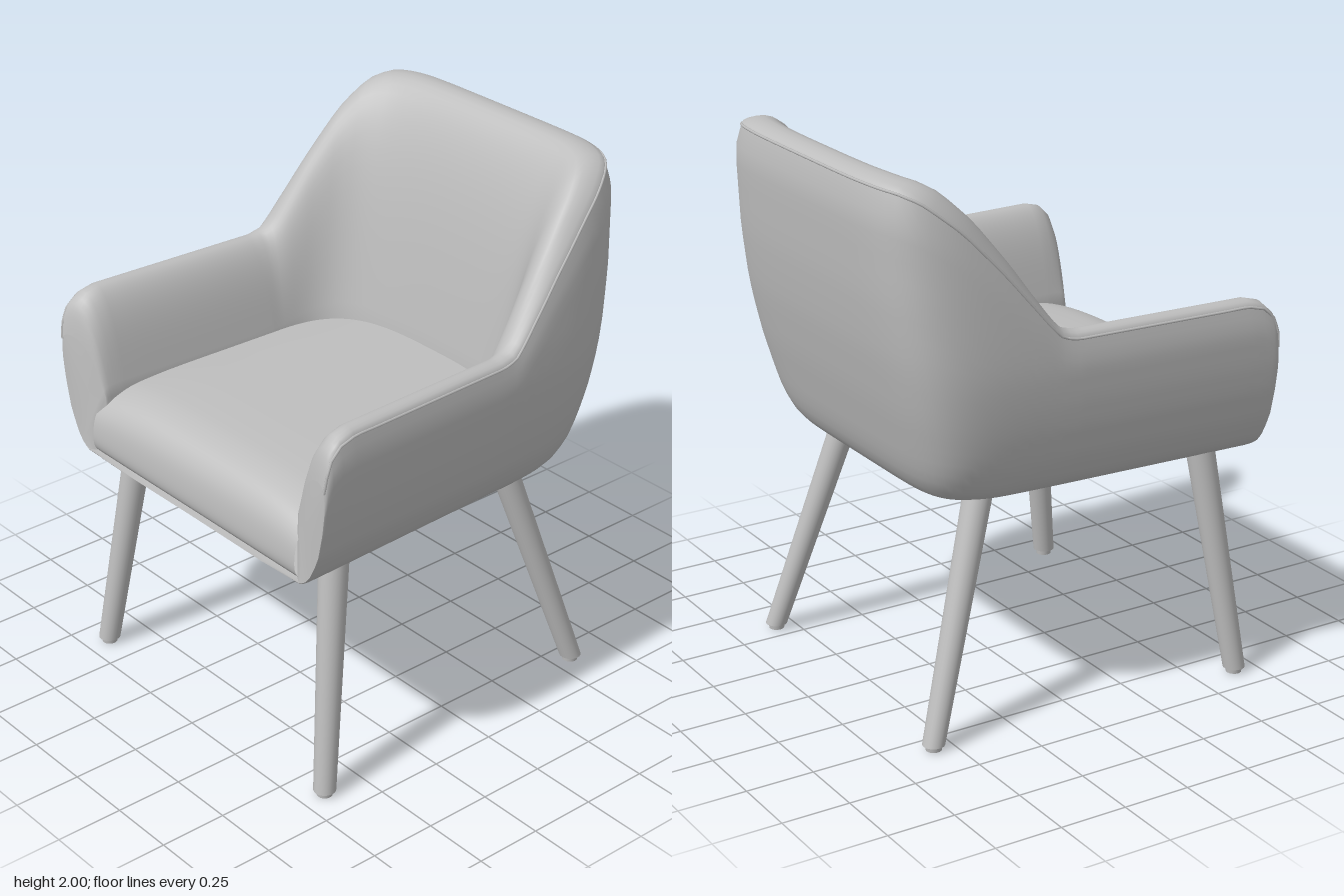
import * as THREE from 'three';

const { lerp, clamp } = THREE.MathUtils;

// Piecewise linear lookup in a list of [key, value] with rising keys
function table(pts, t) {
  if (t <= pts[0][0]) return pts[0][1];
  for (let i = 1; i < pts.length; i++) {
    const [a, va] = pts[i - 1], [b, vb] = pts[i];
    if (t <= b) return lerp(va, vb, (t - a) / (b - a));
  }
  return pts[pts.length - 1][1];
}

// Width factor and back position of the outer shell by height
const WIDTH = [[0.855, 0.79], [0.87, 0.83], [0.9, 0.868], [0.95, 0.905], [1, 0.935], [1.1, 0.967],
  [1.2, 0.987], [1.32, 1], [1.44, 0.995], [1.6, 0.98], [1.85, 0.95], [2, 0.93]];
const BACK = [[0.855, -0.45], [0.875, -0.52], [0.92, -0.555], [1, -0.585], [1.2, -0.64], [1.4, -0.685],
  [1.6, -0.715], [1.85, -0.735], [2, -0.738]];
// Rim height by depth: back, sloping sides, arms, rounded arm fronts
const RIM = [[-0.72, 2], [-0.68, 1.99], [-0.62, 1.96], [-0.5, 1.86], [-0.35, 1.695], [-0.25, 1.575],
  [-0.18, 1.492], [-0.14, 1.458], [-0.08, 1.445], [0.6, 1.445], [0.66, 1.43], [0.7, 1.395], [0.72, 1.35], [0.73, 1.29]];
const ZC = -0.05; // depth where the rear corners begin

// Columns of the U from the left arm round the back to the right arm
const columns = [];
const armZ = [0.73, 0.727, 0.72, 0.71, 0.7, 0.68, 0.66, 0.63, 0.6, 0.5, 0.35, 0.2, 0.08];
armZ.forEach((z) => columns.push({ z, side: 1 }));
for (let i = 0; i <= 72; i++) columns.push({ phi: (Math.PI * i) / 72 });
[...armZ].reverse().forEach((z) => columns.push({ z, side: -1 }));

// Plan position on a U: half width w, back zb, corner power n, arm flare, rear taper
function plan(col, w, zb, n, flare, taper) {
  if (col.phi === undefined) return [col.side * (w + flare * (col.z - ZC)), col.z];
  const c = Math.cos(col.phi), s = Math.sin(col.phi);
  const r = Math.pow(Math.abs(c) ** n + Math.abs(s) ** n, -1 / n);
  return [w * r * c * (1 - taper * r * s), ZC + (zb - ZC) * r * s];
}
const outer = (col, y) => plan(col, 0.705 * table(WIDTH, y), table(BACK, y), 6.5, 0.045, 0.04);

// Two halves of a cross-section meeting at the welt; both walls have 21 points
const BOTTOM = 3, WALL = 20, ARC = 4, INNER = 15;
function section(col, index) {
  const H = table(RIM, plan(col, 0.67, -0.725, 6.5, 0, 0.04)[1]);
  const top = H - 0.025;
  const [sx, sz] = plan(col, 0.5, -0.365, 3, 0.04, 0);
  const under = [], wall = [], inside = [];

  // Underside from the middle to the wall
  const [bx, bz] = outer(col, 0.855);
  const cz = col.phi === undefined ? col.z : ZC;
  for (let i = 0; i < BOTTOM; i++) {
    const k = i / BOTTOM;
    under.push(new THREE.Vector3(bx * k, 0.858 - 0.003 * k, lerp(cz, bz, k)));
  }
  // Outer wall, drawn in slightly below the welt
  for (let i = 0; i <= WALL; i++) {
    const y = lerp(0.855, top, Math.pow(i / WALL, 1.3));
    const [x, z] = outer(col, y);
    const pull = 0.05 * Math.pow(clamp((y - top + 0.1) / 0.1, 0, 1), 2);
    wall.push(new THREE.Vector3(lerp(x, sx, pull), y, lerp(z, sz, pull)));
  }
  // Rolled rim from the welt to the crest, then the padded inner wall
  const edge = wall[WALL];
  const inner = (f, y) => {
    const recess = 0.045 * (1 - f) * clamp((edge.z - 0.6) / 0.13, 0, 1);
    inside.push(new THREE.Vector3(lerp(sx, edge.x, f), y, lerp(sz, edge.z, f) - recess));
  };
  for (let i = 0; i < ARC; i++) {
    const a = (Math.PI / 2) * (1 - i / ARC);
    inner(0.8 + 0.2 * Math.sin(a), H - 0.025 * (1 - Math.cos(a)));
  }
  for (let i = 0; i <= INNER; i++) {
    const v = 1 - Math.pow(i / INNER, 1.8);
    inner(0.8 * (0.5 * v + 0.5 * (1 - Math.sqrt(1 - v ** 4))), lerp(1.08, H, v));
  }
  inner(0, 0.865);

  // Soften the edge round the arm fronts
  const inset = [0.04, 0.02, 0.01, 0.004][Math.min(index, columns.length - 1 - index)] || 0;
  if (inset) {
    const core = new THREE.Vector3(col.side * 0.63, 1.05, 0);
    [...wall, ...inside].forEach((p) => p.lerp(core.setZ(p.z), inset));
  }
  return { shell: [...under, ...wall], wall, inside };
}

// Smooth surface through a list of equally long cross-sections
function loft(rows) {
  const n = rows[0].length, index = [];
  for (let j = 0; j < rows.length - 1; j++) {
    for (let i = 0; i < n - 1; i++) {
      const a = j * n + i, b = a + n;
      index.push(a, b, a + 1, b, b + 1, a + 1);
    }
  }
  const g = new THREE.BufferGeometry().setFromPoints(rows.flat());
  g.setIndex(index);
  g.computeVertexNormals();
  return g;
}

// Softly bulging pad between the outer and inner wall at an arm front
function armFront({ wall, inside }) {
  const facing = [...inside].reverse(), rows = [];
  for (let j = 0; j <= 6; j++) {
    const k = j / 6;
    rows.push(facing.map((p, i) => {
      const q = p.clone().lerp(wall[i], k);
      q.z += 0.1 * Math.abs(p.x - wall[i].x) * Math.sin(Math.PI * k);
      return q;
    }));
  }
  return loft(wall[0].x > 0 ? rows : rows.reverse());
}

// Cushion with a rolled front edge and a slight crown
function seatGeometry() {
  const curve = new THREE.CatmullRomCurve3([[0.7, 0.856], [0.722, 0.885], [0.726, 0.95], [0.71, 1.03], [0.67, 1.085],
    [0.6, 1.115], [0.48, 1.128], [0.1, 1.132], [-0.42, 1.132]].map(([z, y]) => new THREE.Vector3(0, y, z)));
  const profile = curve.getPoints(40), rows = [];
  for (let j = 0; j <= 24; j++) {
    const x = lerp(-0.565, 0.565, j / 24);
    const drop = 0.035 * Math.pow(Math.abs(x) / 0.565, 4);
    rows.push(profile.map((p) => new THREE.Vector3(x, p.y - drop * clamp((p.y - 0.9) / 0.2, 0, 1), p.z)));
  }
  return loft(rows);
}

export function createModel() {
  const model = new THREE.Group();
  model.name = 'armchair';
  const grey = new THREE.MeshStandardMaterial({ color: 0xbebebe, side: THREE.DoubleSide });
  grey.name = 'light grey';
  const add = (name, geometry, parent = model) => {
    const mesh = new THREE.Mesh(geometry, grey);
    mesh.name = name;
    parent.add(mesh);
    return mesh;
  };

  // Upholstered shell, padding and seat
  const sections = columns.map(section);
  add('outerShell', loft(sections.map((s) => s.shell)));
  add('innerPadding', loft(sections.map((s) => s.inside)));
  add('leftArmFront', armFront(sections[0]));
  add('rightArmFront', armFront(sections[sections.length - 1]));
  add('seat', seatGeometry());

  // Welt along the edge of the rim
  const edge = sections.map((s) => s.inside[0]);
  add('piping', new THREE.TubeGeometry(new THREE.CatmullRomCurve3(edge, false, 'centripetal'), 160, 0.005, 6));

  // Splayed, tapered legs with small foot pads
  const legs = [
    ['front', [0.54, 0.9, 0.535], [0.63, 0.02, 0.657]],
    ['back', [0.445, 0.9, -0.305], [0.575, 0.02, -0.575]],
  ];
  for (const [end, t, b] of legs) {
    for (const s of [1, -1]) {
      const leg = new THREE.Group();
      leg.name = end + (s > 0 ? 'LeftLeg' : 'RightLeg');
      model.add(leg);
      const top = new THREE.Vector3(t[0] * s, t[1], t[2]);
      const foot = new THREE.Vector3(b[0] * s, b[1], b[2]);
      // Shear an upright cylinder so both ends stay level
      const h = top.y - foot.y;
      const g = new THREE.CylinderGeometry(0.053, 0.04, h, 24);
      g.applyMatrix4(new THREE.Matrix4().set(
        1, (top.x - foot.x) / h, 0, (top.x + foot.x) / 2,
        0, 1, 0, (top.y + foot.y) / 2,
        0, (top.z - foot.z) / h, 1, (top.z + foot.z) / 2,
        0, 0, 0, 1));
      add('legPost', g, leg);
      add('footPad', new THREE.CylinderGeometry(0.03, 0.028, 0.02, 20), leg).position.set(foot.x, 0.01, foot.z);
    }
  }
  return model;
}
